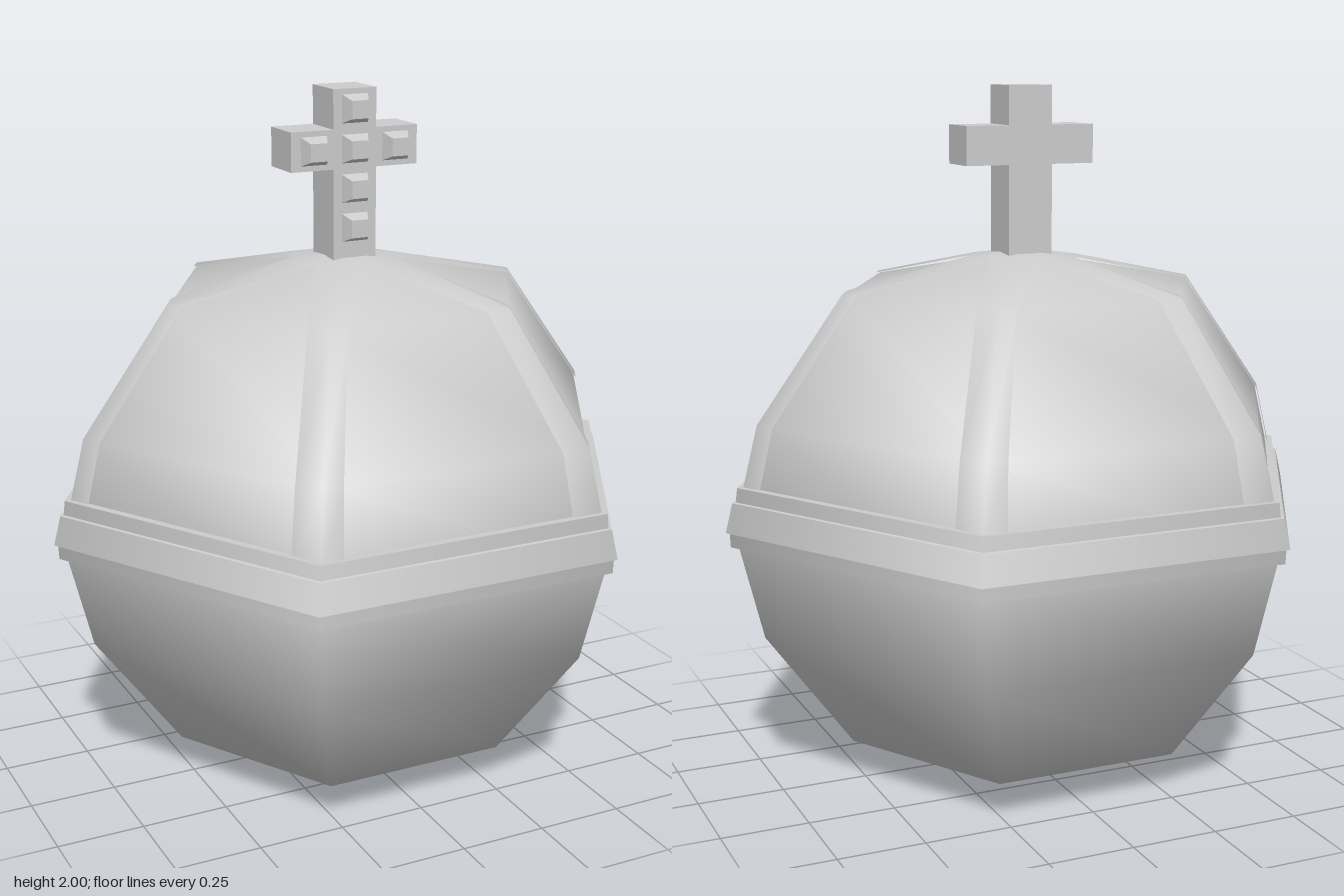
import * as THREE from 'three';

const SIDES = 6;

export function createModel() {
  const metal = new THREE.MeshStandardMaterial({ color: 0xcccccc });
  metal.name = 'plain grey';
  const model = new THREE.Group();
  model.name = 'orb';

  const add = (parent, name, geometry, x = 0, y = 0, z = 0) => {
    const mesh = new THREE.Mesh(geometry, metal);
    mesh.name = name;
    mesh.position.set(x, y, z);
    parent.add(mesh);
    return mesh;
  };
  // six-sided turned surface with corners on the x axis
  const hexLathe = (points) => new THREE.LatheGeometry(
    points.map(([r, y]) => new THREE.Vector2(r, y)), SIDES, Math.PI / 6);

  // smooth six-sided ball
  add(model, 'ball', hexLathe([
    [0, 0.005], [0.535, 0.12], [0.79, 0.47], [0.865, 0.775],
    [0.79, 1.08], [0.535, 1.43], [0, 1.532],
  ]));

  // stepped band: one lathe per profile segment keeps its edges sharp
  const band = new THREE.Group();
  band.name = 'band';
  model.add(band);
  const profile = [[0.84, 0.745], [0.88, 0.745], [0.882, 0.787], [0.893, 0.787],
    [0.872, 0.87], [0.862, 0.872], [0.857, 0.912], [0.82, 0.912]];
  for (let i = 0; i < profile.length - 1; i++) {
    add(band, 'bandFace', hexLathe([profile[i], profile[i + 1]]));
  }

  // ribs folded over the upper corners: radius, height, width on each side
  const levels = [
    [0.842, 0.9, 0.092, 0.064], [0.796, 1.083, 0.084, 0.06],
    [0.54, 1.435, 0.07, 0.052], [0.173, 1.515, 0.0865, 0.0865], [0, 1.54, 0, 0],
  ];
  const positions = [];
  const index = [];
  for (const [r, y, a, b] of levels) {
    for (const [w, side] of [[a, 1], [0, 0], [b, -1]]) {
      positions.push(r - w * 0.5, y, side * w * 0.866);
    }
  }
  for (let i = 0; i < levels.length - 1; i++) {
    for (let j = 0; j < 2; j++) {
      const p = i * 3 + j;
      index.push(p, p + 1, p + 4, p, p + 4, p + 3);
    }
  }
  const ribGeometry = new THREE.BufferGeometry();
  ribGeometry.setAttribute('position', new THREE.Float32BufferAttribute(positions, 3));
  ribGeometry.setIndex(index);
  ribGeometry.computeVertexNormals();
  for (let i = 0; i < SIDES; i++) {
    add(model, 'rib', ribGeometry).rotation.y = i * Math.PI / 3;
  }

  // cross on top
  const cross = new THREE.Group();
  cross.name = 'cross';
  model.add(cross);
  add(cross, 'crossPost', new THREE.BoxGeometry(0.132, 0.475, 0.132), 0, 1.7625, 0);
  for (const s of [-1, 1]) {
    add(cross, 'crossArm', new THREE.BoxGeometry(0.128, 0.11, 0.132), s * 0.13, 1.835, 0);
  }

  // square-cut studs on the front of the cross
  const stud = new THREE.CylinderGeometry(0.025 * Math.SQRT2, 0.04 * Math.SQRT2, 0.036, 4)
    .rotateY(Math.PI / 4).rotateX(Math.PI / 2).toNonIndexed();
  stud.computeVertexNormals();
  for (const [x, y] of [[0, 1.945], [-0.125, 1.835], [0, 1.835], [0.125, 1.835], [0, 1.725], [0, 1.615]]) {
    add(cross, 'stud', stud, x, y, 0.083);
  }
  return model;
}
